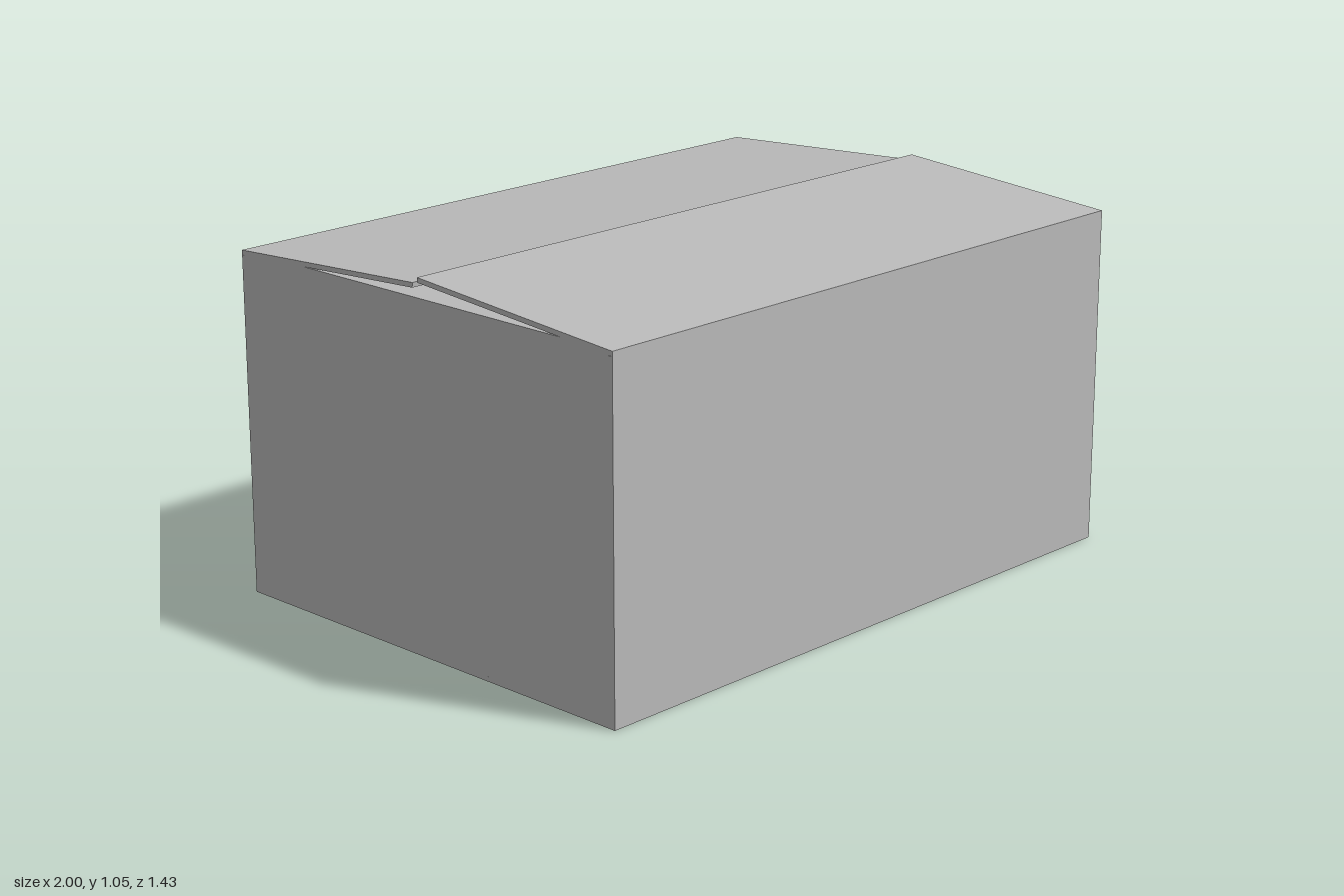
import * as THREE from 'three';

const T = 0.014; // board thickness
const D = 0.717; // half depth

export function createModel() {
  const model = new THREE.Group();
  model.name = 'cardboardBox';
  const board = new THREE.MeshStandardMaterial({ color: 0xbababa });
  board.name = 'grey board';

  const add = (name, geometry, x = 0, y = 0, z = 0) => {
    const mesh = new THREE.Mesh(geometry, board);
    mesh.name = name;
    mesh.position.set(x, y, z);
    model.add(mesh);
  };

  // Plate with a (z, y) section, extruded across the full width
  const addSection = (name, points) => {
    const shape = new THREE.Shape(points.map(([z, y]) => new THREE.Vector2(-z, y)));
    const geometry = new THREE.ExtrudeGeometry(shape, { depth: 2, bevelEnabled: false });
    geometry.rotateY(Math.PI / 2).translate(-1, 0, 0);
    add(name, geometry);
  };

  // Floor
  add('floor', new THREE.BoxGeometry(2, T, 2 * D), 0, T / 2, 0);

  // Long walls, each with a top flap that rises slightly towards the middle
  const longSides = [
    { side: 1, label: 'front', edge: 0.005, rise: 1.055 },
    { side: -1, label: 'back', edge: 0.013, rise: 1.038 },
  ];
  for (const { side, label, edge, rise } of longSides) {
    add(label + 'Wall', new THREE.BoxGeometry(2, 1 - 2 * T, T), 0, 0.5, side * (D - T / 2));
    addSection(label + 'TopFlap', [
      [side * D, 1], [side * edge, rise],
      [side * (edge + 0.001), rise - T], [side * D, 1 - T],
    ]);
  }

  // End walls with flat inner flaps that leave the middle open
  for (const [side, label] of [[1, 'left'], [-1, 'right']]) {
    add(label + 'Wall', new THREE.BoxGeometry(T, 1 - 2 * T, 2 * (D - T)), side * (1 - T / 2), 0.5, 0);
    add(label + 'InnerFlap', new THREE.BoxGeometry(0.6, T, 2 * (D - T)), side * 0.7, 1 - T / 2, 0);
  }

  return model;
}
